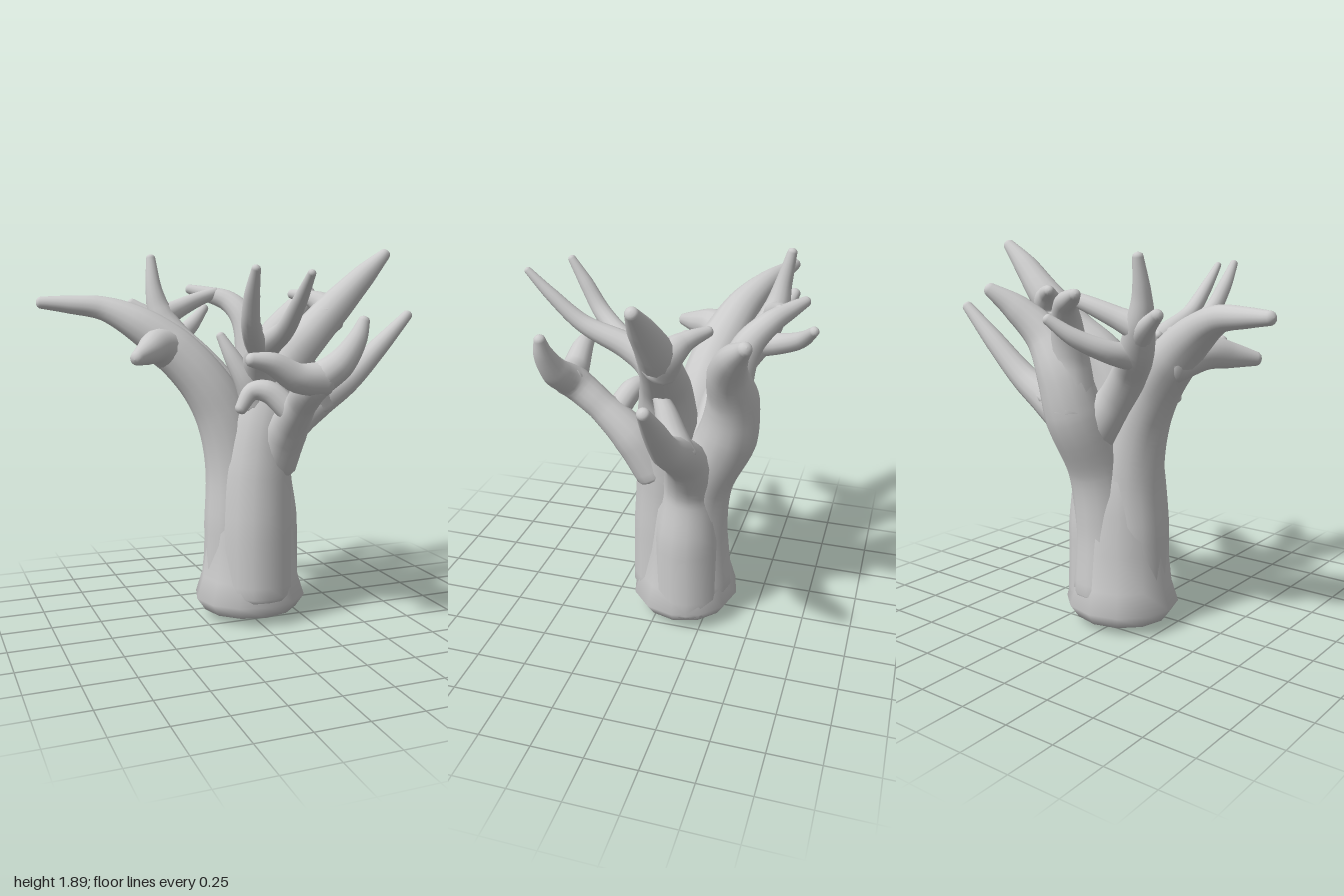
import * as THREE from 'three';

const material = new THREE.MeshStandardMaterial({ color: 0xcccccc });

// Smooth limb through [x, y, z, radius] stations: flat dome at the root, round dome at the tip
function limb(name, stations, sides = 14) {
  const curve = new THREE.CatmullRomCurve3(stations.map(([x, y, z]) => new THREE.Vector3(x, y, z)));
  const spans = stations.length - 1;
  const steps = spans * 6;
  const tangents = [];
  const rings = [];
  for (let i = 0; i <= steps; i++) {
    const t = i / steps;
    const k = Math.min(Math.floor(t * spans), spans - 1);
    const r = THREE.MathUtils.lerp(stations[k][3], stations[k + 1][3], t * spans - k);
    rings.push({ centre: curve.getPoint(t), r });
    tangents.push(curve.getTangent(t));
  }
  // Parallel-transported normals keep the rings from twisting
  let normal = new THREE.Vector3(0, 0, 1);
  if (Math.abs(tangents[0].z) > 0.8) normal.set(1, 0, 0);
  rings.forEach((ring, i) => {
    const t = tangents[i];
    normal = normal.clone().addScaledVector(t, -normal.dot(t)).normalize();
    ring.n = normal;
    ring.b = new THREE.Vector3().crossVectors(t, normal);
  });
  const dome = (ring, tangent, height) => [0.4, 0.8, 1.2, 1.56].map((a) => ({
    ...ring,
    r: ring.r * Math.cos(a),
    centre: ring.centre.clone().addScaledVector(tangent, height * ring.r * Math.sin(a)),
  }));
  const all = [
    ...dome(rings[0], tangents[0], -0.35).reverse(),
    ...rings,
    ...dome(rings[steps], tangents[steps], 0.8),
  ];
  const positions = [];
  const index = [];
  all.forEach(({ centre, r, n, b }, i) => {
    for (let j = 0; j < sides; j++) {
      const a = (j / sides) * Math.PI * 2;
      const p = centre.clone().addScaledVector(n, r * Math.cos(a)).addScaledVector(b, r * Math.sin(a));
      positions.push(p.x, p.y, p.z);
      if (i === 0) continue;
      const j2 = (j + 1) % sides;
      const c = (i - 1) * sides, d = i * sides;
      index.push(c + j, c + j2, d + j, c + j2, d + j2, d + j);
    }
  });
  const geometry = new THREE.BufferGeometry();
  geometry.setAttribute('position', new THREE.Float32BufferAttribute(positions, 3));
  geometry.setIndex(index);
  geometry.computeVertexNormals();
  const mesh = new THREE.Mesh(geometry, material);
  mesh.name = name;
  return mesh;
}

// Flared trunk core with a slightly pointed foot
function trunk() {
  const profile = [
    [0, 0.005], [0.13, 0.02], [0.245, 0.045], [0.29, 0.11], [0.255, 0.22],
    [0.235, 0.4], [0.215, 0.6], [0.19, 0.8], [0.13, 0.95], [0, 1.02],
  ].map(([r, y]) => new THREE.Vector2(r, y));
  const mesh = new THREE.Mesh(new THREE.LatheGeometry(profile, 12), material);
  mesh.scale.z = 0.95;
  mesh.position.set(0.015, 0, -0.12);
  mesh.name = 'trunk';
  return mesh;
}

export function createModel() {
  const model = new THREE.Group();
  model.name = 'branchingTree';
  model.add(trunk());

  const limbs = {
    // Front stem sweeping up to the left
    frontStem: [[0.015, 0.15, -0.025, 0.185], [0.015, 0.5, -0.03, 0.185], [0.03, 0.8, -0.04, 0.175],
      [0.08, 1.1, -0.035, 0.15], [0.17, 1.3, -0.05, 0.125], [0.33, 1.45, -0.08, 0.1],
      [0.5, 1.61, -0.1, 0.085], [0.65, 1.76, -0.09, 0.06], [0.765, 1.865, -0.09, 0.03]],
    frontStemTwig: [[0.42, 1.52, -0.09, 0.1], [0.45, 1.59, -0.15, 0.075], [0.4, 1.635, -0.21, 0.045],
      [0.32, 1.66, -0.29, 0.024]],
    // Paired long forward tines
    forwardTine: [[0.07, 1.22, -0.04, 0.11], [0, 1.35, 0.07, 0.085], [-0.02, 1.42, 0.2, 0.065],
      [-0.02, 1.51, 0.42, 0.045], [-0.02, 1.64, 0.58, 0.033], [-0.02, 1.755, 0.7, 0.018]],
    forwardTineFork: [[-0.01, 1.39, 0.14, 0.065], [-0.1, 1.44, 0.26, 0.052], [-0.17, 1.53, 0.38, 0.045],
      [-0.2, 1.66, 0.47, 0.036], [-0.21, 1.775, 0.545, 0.02]],
    innerTine: [[0, 1.12, 0, 0.075], [-0.05, 1.23, 0.01, 0.058], [-0.11, 1.35, -0.02, 0.042],
      [-0.16, 1.46, -0.06, 0.022]],
    // Low front branch with a wide fork
    lowFrontBranch: [[0.11, 0.82, 0.02, 0.1], [0.12, 1, 0.13, 0.1], [0.12, 1.15, 0.29, 0.075],
      [0.13, 1.26, 0.42, 0.082], [0.23, 1.35, 0.475, 0.07], [0.3, 1.46, 0.5, 0.048],
      [0.335, 1.545, 0.5, 0.028]],
    lowFrontFork: [[0.17, 1.28, 0.44, 0.082], [0.03, 1.29, 0.455, 0.07], [-0.1, 1.36, 0.46, 0.052],
      [-0.2, 1.38, 0.46, 0.032]],
    lowFrontStub: [[0.1, 1.1, 0.23, 0.06], [0, 1.2, 0.17, 0.055], [-0.07, 1.2, 0.14, 0.045],
      [-0.13, 1.12, 0.14, 0.03]],
    // Left stem and its upright twig
    leftStem: [[0.11, 0.1, -0.15, 0.18], [0.115, 0.5, -0.15, 0.17], [0.13, 0.78, -0.165, 0.135],
      [0.27, 0.98, -0.18, 0.105], [0.42, 1.09, -0.18, 0.09], [0.6, 1.2, -0.18, 0.07],
      [0.8, 1.38, -0.19, 0.052], [0.975, 1.545, -0.2, 0.028]],
    leftStemTwig: [[0.43, 1.09, -0.18, 0.095], [0.38, 1.18, -0.14, 0.07], [0.34, 1.27, -0.1, 0.05],
      [0.305, 1.35, -0.05, 0.028]],
    // Right stem arching outward, with a lower fork
    rightStem: [[-0.07, 0.2, -0.12, 0.16], [-0.06, 0.5, -0.12, 0.165], [-0.06, 0.8, -0.13, 0.155],
      [-0.12, 1.05, -0.14, 0.14], [-0.22, 1.23, -0.16, 0.125], [-0.36, 1.39, -0.21, 0.115],
      [-0.51, 1.51, -0.27, 0.09], [-0.67, 1.59, -0.35, 0.06], [-0.83, 1.61, -0.41, 0.045],
      [-0.965, 1.62, -0.455, 0.03]],
    rightStemFork: [[-0.36, 1.38, -0.23, 0.11], [-0.46, 1.41, -0.13, 0.085], [-0.54, 1.39, -0.02, 0.06],
      [-0.615, 1.37, 0.07, 0.034]],
    // Back stem and its arching fork
    backStem: [[0.05, 0.18, -0.2, 0.17], [0.06, 0.5, -0.19, 0.155], [0.08, 0.8, -0.22, 0.15],
      [0.12, 1.08, -0.345, 0.145], [0.17, 1.28, -0.375, 0.125], [0.28, 1.45, -0.37, 0.095],
      [0.41, 1.58, -0.42, 0.068], [0.515, 1.67, -0.49, 0.033]],
    backArch: [[0.12, 1.12, -0.37, 0.125], [0.125, 1.36, -0.37, 0.09], [0.1, 1.53, -0.42, 0.072],
      [0.04, 1.62, -0.5, 0.056], [-0.06, 1.66, -0.58, 0.04], [-0.135, 1.685, -0.64, 0.025]],
    // Upright back right branch with three side tines
    backRightBranch: [[0.06, 1, -0.26, 0.12], [-0.08, 1.18, -0.27, 0.095], [-0.19, 1.32, -0.32, 0.085],
      [-0.29, 1.44, -0.41, 0.08], [-0.35, 1.56, -0.465, 0.066], [-0.375, 1.68, -0.49, 0.044],
      [-0.38, 1.845, -0.525, 0.024]],
    backRightLowTine: [[-0.27, 1.4, -0.39, 0.065], [-0.23, 1.43, -0.51, 0.052], [-0.12, 1.5, -0.63, 0.04],
      [-0.03, 1.58, -0.7, 0.024]],
    backRightInnerTine: [[-0.34, 1.54, -0.46, 0.065], [-0.25, 1.58, -0.49, 0.05], [-0.14, 1.625, -0.52, 0.04],
      [-0.02, 1.665, -0.54, 0.03]],
    backRightOuterTine: [[-0.3, 1.46, -0.42, 0.06], [-0.39, 1.54, -0.49, 0.045], [-0.485, 1.61, -0.535, 0.028]],
  };
  for (const [name, stations] of Object.entries(limbs)) model.add(limb(name, stations));
  return model;
}
